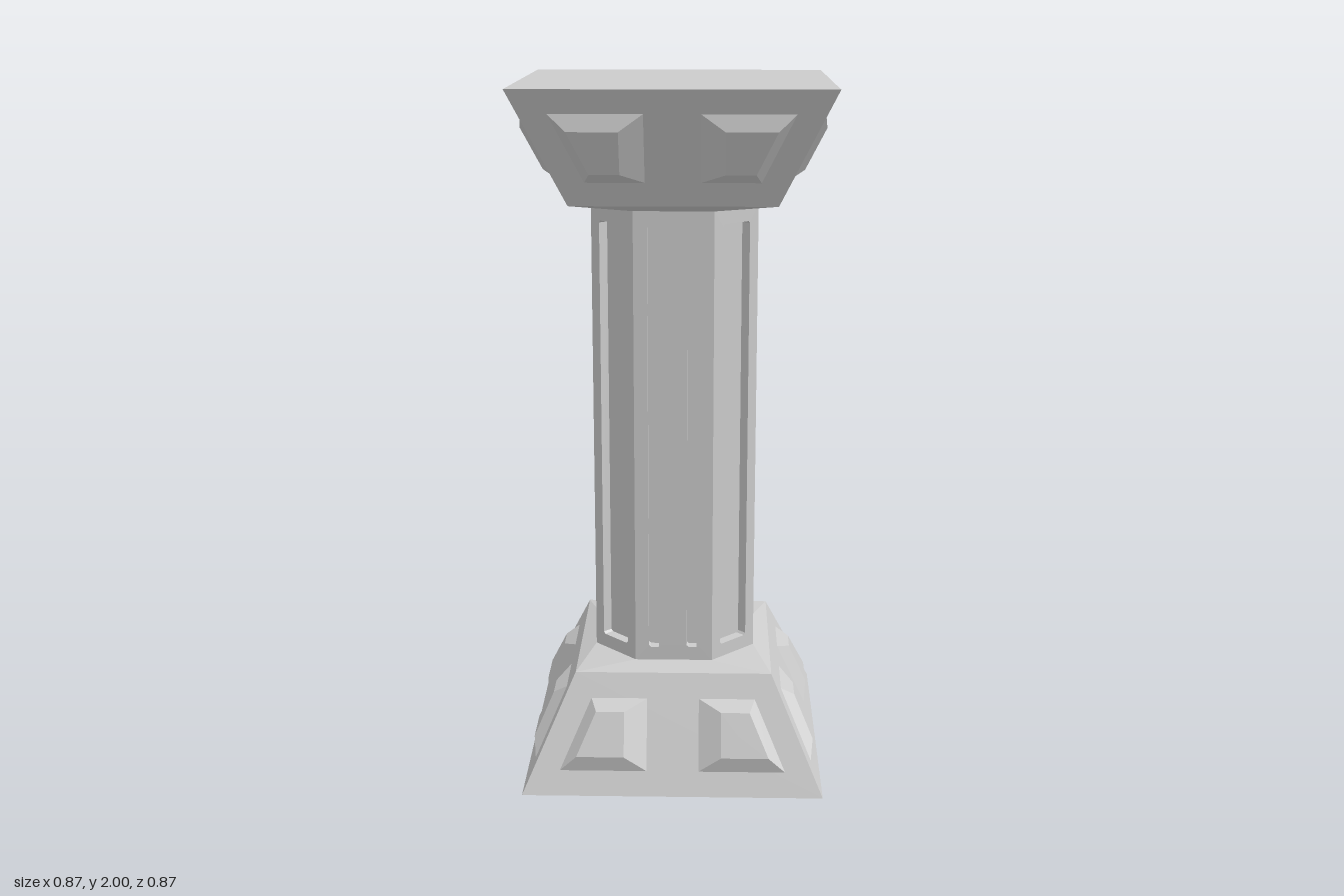
import * as THREE from 'three';

const material = new THREE.MeshStandardMaterial({ color: 0xcccccc, flatShading: true });

// Skin a list of closed cross-sections (equal point counts) with flat quads.
function loft(loops) {
  const pos = [];
  for (let i = 0; i < loops.length - 1; i++) {
    const lo = loops[i], hi = loops[i + 1], n = lo.length;
    for (let j = 0; j < n; j++) {
      const k = (j + 1) % n;
      for (const p of [lo[j], hi[j], hi[k], lo[j], hi[k], lo[k]]) pos.push(...p);
    }
  }
  const g = new THREE.BufferGeometry();
  g.setAttribute('position', new THREE.Float32BufferAttribute(pos, 3));
  g.computeVertexNormals();
  return g;
}

function part(name, geometry) {
  const mesh = new THREE.Mesh(geometry, material);
  mesh.name = name;
  return mesh;
}

// Square with clipped corners: a = half width, b = half length of the flat side.
const octagon = (a, b, y) => [
  [a, y, b], [b, y, a], [-b, y, a], [-a, y, b],
  [-a, y, -b], [-b, y, -a], [b, y, -a], [a, y, -b],
];

const BOTTOM = 0.433, TOP = 0.285, BLOCK_H = 0.32;   // tapered block
const SHAFT = 0.235, FLAT = 0.112, SHAFT_Y = 0.34;   // octagonal shaft
const FLUTE_DEPTH = 0.03, FLUTE_Y0 = 0.38, FLUTE_Y1 = 1.62;

// Bevelled raised panel lying on the sloped front face of the block.
function panelGeometry(side) {
  const slope = (BOTTOM - TOP) / BLOCK_H;
  const len = Math.hypot(1, slope);
  const onFace = ([x, y], h) =>
    [side * x, y + h * slope / len, BOTTOM - slope * y + h / len];
  const outer = [[0.075, 0.065], [0.075, 0.253], [0.237, 0.253], [0.325, 0.065]];
  const inner = [[0.14, 0.1], [0.14, 0.217], [0.222, 0.217], [0.277, 0.1]];
  const loops = [
    outer.map(p => onFace(p, 0)),
    inner.map(p => onFace(p, 0.026)),
    inner.map(() => onFace([0.19, 0.158], 0.026)),
  ];
  if (side < 0) loops.forEach(l => l.reverse());
  return loft(loops);
}

// Tapered square block with two raised panels on each side.
function makeBlock(name) {
  const group = new THREE.Group();
  group.name = name;
  group.add(part(name + 'Block', loft([
    octagon(0, 0, 0),
    octagon(BOTTOM, BOTTOM, 0),
    octagon(TOP, TOP, BLOCK_H),
    octagon(SHAFT, FLAT, SHAFT_Y),
  ])));
  for (let k = 0; k < 4; k++) {
    for (const side of [-1, 1]) {
      const panel = part(name + 'Panel', panelGeometry(side));
      panel.rotation.y = k * Math.PI / 2;
      group.add(panel);
    }
  }
  return group;
}

// Upright slot with slightly clipped corners.
function flute(x0, x1) {
  const c = 0.006, y0 = FLUTE_Y0, y1 = FLUTE_Y1;
  return new THREE.Path([
    [x0 + c, y0], [x0, y0 + c], [x0, y1 - c], [x0 + c, y1],
    [x1 - c, y1], [x1, y1 - c], [x1, y0 + c], [x1 - c, y0],
  ].map(p => new THREE.Vector2(...p)));
}

// One shaft face pierced by its flutes.
function shaftFace(halfWidth, apothem, slots) {
  const shape = new THREE.Shape([
    [-halfWidth, SHAFT_Y], [halfWidth, SHAFT_Y],
    [halfWidth, 2 - SHAFT_Y], [-halfWidth, 2 - SHAFT_Y],
  ].map(p => new THREE.Vector2(...p)));
  slots.forEach(([a, b]) => shape.holes.push(flute(a, b)));
  const g = new THREE.ExtrudeGeometry(shape, { depth: FLUTE_DEPTH, bevelEnabled: false });
  return g.translate(0, 0, apothem - FLUTE_DEPTH);
}

function makeShaft() {
  const group = new THREE.Group();
  group.name = 'shaft';

  // Inner core forms the floors of the flutes
  const a = SHAFT - FLUTE_DEPTH;
  const b = SHAFT + FLAT - Math.SQRT2 * FLUTE_DEPTH - a;
  group.add(part('shaftCore', loft([octagon(a, b, SHAFT_Y), octagon(a, b, 2 - SHAFT_Y)])));

  // Two narrow flutes on the main faces, one wide flute on the corner faces
  const main = shaftFace(FLAT, SHAFT, [[-0.073, -0.038], [0.038, 0.073]]);
  const corner = shaftFace((SHAFT - FLAT) / Math.SQRT2, (SHAFT + FLAT) / Math.SQRT2, [[-0.053, 0.053]]);
  for (let k = 0; k < 8; k++) {
    const face = k % 2 ? part('cornerFace', corner) : part('mainFace', main);
    face.rotation.y = k * Math.PI / 4;
    group.add(face);
  }
  return group;
}

export function createModel() {
  const model = new THREE.Group();
  model.name = 'column';
  const capital = makeBlock('capital');
  capital.rotation.x = Math.PI;
  capital.position.y = 2;
  model.add(makeBlock('base'), makeShaft(), capital);
  return model;
}
